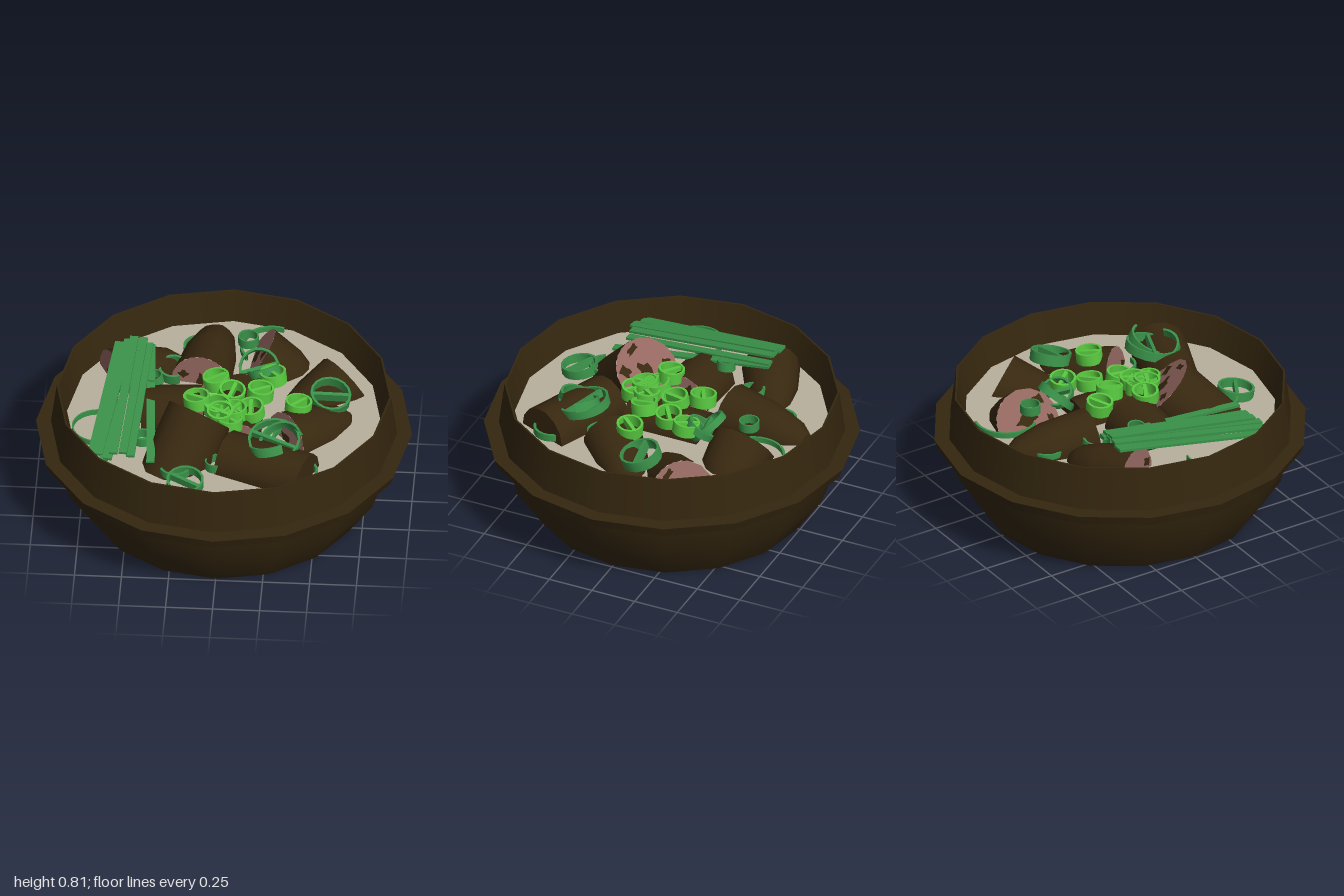
import * as THREE from 'three';
import { toCreasedNormals } from 'three/addons/utils/BufferGeometryUtils.js';

export function createModel() {
  const model = new THREE.Group();
  const mat = (name, color, side = THREE.FrontSide) => {
    const m = new THREE.MeshStandardMaterial({ color, side });
    m.name = name;
    return m;
  };
  const clay = mat('dark clay', 0x35270f);
  const broth = mat('pale broth', 0xb9b19d);
  const skin = mat('dark braised skin', 0x382810);
  const flesh = mat('pink flesh', 0x946760);
  const chive = mat('deep green', 0x3a9149, THREE.DoubleSide);
  const scallion = mat('bright green', 0x58c840, THREE.DoubleSide);

  const add = (parent, name, geometry, material) => {
    const mesh = new THREE.Mesh(geometry, material);
    mesh.name = name;
    parent.add(mesh);
    return mesh;
  };
  const lathe = (pts, sides, start = 0, sweep = Math.PI * 2) =>
    new THREE.LatheGeometry(pts.map(p => new THREE.Vector2(...p)), sides, start, sweep);

  // Sixteen-sided bowl, made in sections so its edges stay crisp
  const bowl = new THREE.Group();
  bowl.name = 'bowl';
  model.add(bowl);
  const sections = {
    bowlBase: [[0, 0], [0.735, 0]],
    bowlLowerWall: [[0.735, 0], [0.875, 0.21], [0.91, 0.4]],
    flangeUnderside: [[0.91, 0.395], [0.98, 0.395]],
    flangeEdge: [[0.98, 0.395], [1, 0.45]],
    flangeTop: [[1, 0.45], [0.92, 0.45]],
    bowlUpperWall: [[0.92, 0.45], [0.89, 0.69]],
    bowlRim: [[0.89, 0.69], [0.88, 0.69]],
    bowlInnerWall: [[0.88, 0.69], [0.83, 0.5]],
  };
  for (const [name, pts] of Object.entries(sections)) add(bowl, name, lathe(pts, 16), clay);

  const soup = add(model, 'broth', new THREE.CircleGeometry(0.838, 16), broth);
  soup.rotation.x = -Math.PI / 2;
  soup.position.y = 0.52;

  // Irregular dark patches for the cut faces, on a unit disc
  const blot = (cx, cy, w, h, seed) => {
    const s = new THREE.Shape();
    for (let i = 0; i < 11; i++) {
      const a = i / 11 * Math.PI * 2, k = 1 + 0.3 * Math.sin(i * 2.3 + seed);
      const x = cx + Math.cos(a) * w * k, y = cy + Math.sin(a) * h * k;
      i ? s.lineTo(x, y) : s.moveTo(x, y);
    }
    return new THREE.ShapeGeometry(s);
  };

  // Chunk running from its back end to the centre of its pink cut face
  const up = new THREE.Vector3(0, 1, 0);
  function chunk(back, front, r, domed, patched) {
    const a = new THREE.Vector3(...back), b = new THREE.Vector3(...front);
    const len = a.distanceTo(b), g = new THREE.Group();
    g.name = 'braisedChunk';
    g.position.copy(b);
    g.quaternion.setFromUnitVectors(up, b.clone().sub(a).normalize());
    const profile = domed
      ? [[0, -len], [r * 0.35, -len * 0.98], [r * 0.65, -len * 0.83], [r * 0.9, -len * 0.5], [r, 0]]
      : [[0, -len], [r, -len], [r, 0]];
    add(g, 'chunkSkin', toCreasedNormals(lathe(profile, 14), 0.8), skin);
    const face = new THREE.Group();
    face.name = 'cutFace';
    face.rotation.x = -Math.PI / 2;
    face.scale.set(r, r, 1);
    g.add(face);
    add(face, 'cutFlesh', new THREE.CircleGeometry(1, 14), flesh);
    if (patched) {
      [[0.05, 0, 0.2, 0.32, 1], [-0.55, 0.35, 0.17, 0.14, 2], [0.5, -0.5, 0.16, 0.2, 4], [-0.2, -0.72, 0.22, 0.1, 5]]
        .forEach(p => { add(face, 'skinPatch', blot(...p), skin).position.z = 0.003; });
    }
    model.add(g);
  }
  chunk([-0.07, 0.5, -0.76], [-0.14, 0.53, -0.28], 0.16, true, true);
  chunk([0.45, 0.34, -0.45], [0.14, 0.55, -0.49], 0.18, true, true);
  chunk([0.41, 0.37, -0.17], [0.63, 0.5, -0.36], 0.175, false, true);
  chunk([0.67, 0.46, -0.08], [0.34, 0.52, 0.19], 0.16, true, true);
  chunk([0.47, 0.52, 0.54], [0.035, 0.52, 0.36], 0.155, false, false);
  chunk([-0.27, 0.4, 0.44], [-0.115, 0.68, 0.2], 0.18, false, true);
  chunk([-0.42, 0.5, -0.02], [-0.11, 0.53, 0], 0.16, false, true);
  chunk([-0.25, 0.5, -0.47], [-0.62, 0.53, -0.29], 0.155, true, true);
  chunk([0.08, 0.5, -0.24], [0.08, 0.5, 0.2], 0.13, false, false);

  // Fan of long chives leaning on the chunks: back x, front x, back y, front y
  [[-0.58, -0.68, 0.7, 0.58], [-0.56, -0.61, 0.7, 0.59], [-0.53, -0.64, 0.72, 0.6],
   [-0.5, -0.56, 0.74, 0.62], [-0.48, -0.59, 0.72, 0.6], [-0.45, -0.51, 0.735, 0.62],
   [-0.42, -0.47, 0.7, 0.6], [-0.41, -0.36, 0.69, 0.59]].forEach(([x0, x1, y0, y1], i) => {
    const a = new THREE.Vector3(x0, y0, -0.38), b = new THREE.Vector3(x1, y1, 0.49 + 0.02 * Math.sin(i * 2));
    const stick = add(model, 'chiveStick', new THREE.BoxGeometry(0.045, 0.014, a.distanceTo(b)), chive);
    stick.position.copy(a).add(b).multiplyScalar(0.5);
    stick.lookAt(b);
  });

  // Hollow sliced ring, whole or partial, with an optional membrane across it
  function ring(name, material, [x, y, z], r, h, { tx = 0, tz = 0, turn = 0, sweep = Math.PI * 2, bar = false, t = 0.013 } = {}) {
    const g = new THREE.Group();
    g.name = name;
    const p = [[r, -h / 2], [r, h / 2], [r - t, h / 2], [r - t, -h / 2], [r, -h / 2]];
    add(g, name + 'Wall', toCreasedNormals(lathe(p, 16, turn, sweep), 0.7), material);
    if (bar) {
      const m = add(g, name + 'Membrane', new THREE.BoxGeometry(2 * r - t, h * 0.85, 0.02), material);
      m.rotation.y = turn;
    }
    g.position.set(x, y, z);
    g.rotation.set(tx, 0, tz);
    model.add(g);
  }

  // Bright rings heaped in the middle
  [[-0.05, 0.64, -0.16, 0.5], [0.04, 0.65, -0.04, 1.3], [0.25, 0.65, -0.2, -0.9], [0.19, 0.64, -0.07, 0.6],
   [0.15, 0.64, 0.09, 1.57], [0.4, 0.66, 0.06, 0.9], [-0.14, 0.68, 0.07, -0.5], [-0.03, 0.66, 0.1, 0.4],
   [0.06, 0.65, 0.12, 1], [0.04, 0.64, 0.2, -0.7], [-0.01, 0.66, 0.16, -0.5]].forEach(([x, y, z, turn], i) =>
    ring('scallionRing', scallion, [x, y, z], 0.072, 0.065,
      { turn, bar: true, tx: 0.12 * Math.sin(i * 2), tz: 0.12 * Math.cos(i * 3) }));

  // Deep green rings and curls scattered around
  const curl = (x, y, z, r, h, options) => ring('greenCurl', chive, [x, y, z], r, h, options);
  curl(-0.17, 0.55, 0.62, 0.1, 0.05, { turn: -0.5, bar: true, tx: 0.15 });
  curl(0.56, 0.62, -0.08, 0.11, 0.06, { turn: 0.1, bar: true, tx: 0.25, tz: -0.15 });
  curl(0.29, 0.66, 0.38, 0.14, 0.05, { turn: -0.4, tx: 0.25, bar: true });
  curl(0.33, 0.67, 0.4, 0.12, 0.05, { turn: 2, sweep: 4, tx: 0.35, tz: 0.3 });
  curl(0.27, 0.66, 0.42, 0.11, 0.05, { turn: 3.6, sweep: 3.4, tx: -0.3, tz: 0.2 });
  curl(0.43, 0.55, 0.5, 0.1, 0.04, { turn: 0.2, sweep: 2.2 });
  curl(0.37, 0.56, 0.22, 0.1, 0.03, { turn: 3.4, sweep: 3 });
  curl(-0.66, 0.54, 0.16, 0.14, 0.03, { turn: 2.8, sweep: 3.4, t: 0.008 });
  curl(-0.42, 0.56, 0.26, 0.05, 0.05);
  curl(-0.02, 0.55, 0.45, 0.055, 0.05, { t: 0.008 });
  curl(0.1, 0.66, -0.5, 0.055, 0.05, { t: 0.008 });
  curl(0.22, 0.55, -0.58, 0.17, 0.03, { turn: 2.8, sweep: 2.6 });
  curl(-0.29, 0.57, -0.33, 0.08, 0.06, { turn: 2.6, sweep: 4.2, tx: 0.2 });
  curl(-0.38, 0.65, -0.14, 0.05, 0.05, { t: 0.008, tz: 0.2 });
  curl(0.17, 0.63, -0.29, 0.11, 0.04, { turn: 0.3, bar: true, tx: 0.75 });
  curl(0.2, 0.63, -0.27, 0.09, 0.04, { turn: 1, bar: true, tx: -0.5, tz: 0.3 });
  curl(-0.23, 0.55, 0.5, 0.085, 0.04, { turn: -1.2, sweep: 2.8 });
  curl(-0.16, 0.55, -0.56, 0.09, 0.03, { turn: 3.4, sweep: 1.8 });

  return model;
}
